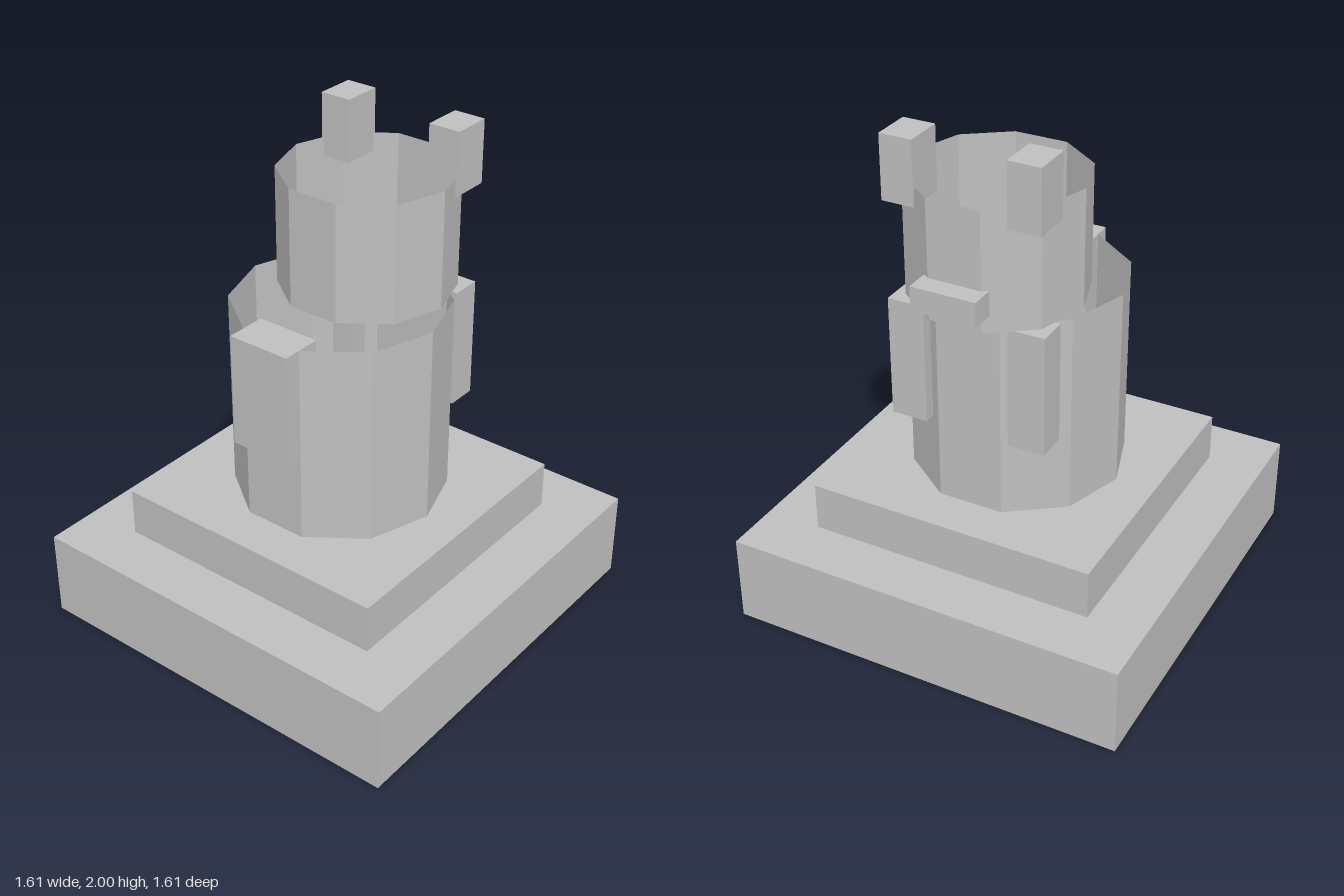
import * as THREE from 'three';

export function createModel() {
  const model = new THREE.Group();
  model.name = 'blockyStatue';

  const stone = new THREE.MeshStandardMaterial({ color: 0xbfbfbf, flatShading: true });
  stone.name = 'grey stone';
  const shell = new THREE.MeshStandardMaterial({ color: 0xbfbfbf, flatShading: true, side: THREE.DoubleSide });
  shell.name = 'grey stone shell';

  // Box given by its low and high limits on each axis
  function box(name, [x0, x1], [y0, y1], [z0, z1]) {
    const mesh = new THREE.Mesh(new THREE.BoxGeometry(x1 - x0, y1 - y0, z1 - z0), stone);
    mesh.position.set((x0 + x1) / 2, (y0 + y1) / 2, (z0 + z1) / 2);
    mesh.name = name;
    model.add(mesh);
  }

  // Open ten-sided tube with corners on the x axis
  function tube(name, radius, y0, y1, z) {
    const geometry = new THREE.CylinderGeometry(radius, radius, y1 - y0, 10, 1, true, Math.PI / 2);
    const mesh = new THREE.Mesh(geometry, shell);
    mesh.position.set(0, (y0 + y1) / 2, z);
    mesh.name = name;
    model.add(mesh);
  }

  // Stepped plinth
  box('lowerPlinth', [-0.806, 0.806], [0, 0.355], [-0.806, 0.806]);
  box('upperPlinth', [-0.58, 0.58], [0.355, 0.55], [-0.58, 0.58]);

  // Hollow body and head, the head set back
  tube('body', 0.419, 0.55, 1.355, 0);
  tube('head', 0.34, 1.355, 1.823, -0.16);

  // Front and back blocks
  box('chestBlock', [-0.129, 0.129], [0.905, 1.355], [0.303, 0.468]);
  box('backBlock', [-0.129, 0.129], [1.423, 1.52], [-0.565, -0.468]);

  // Mirrored pairs: rear supports and the horns above them
  for (const side of [-1, 1]) {
    const prefix = side > 0 ? 'left' : 'right';
    const span = (inner, outer) => (side > 0 ? [inner, outer] : [-outer, -inner]);
    box(prefix + 'RearBlock', span(0.17, 0.316), [0.873, 1.355], [-0.416, -0.294]);
    box(prefix + 'Horn', span(0.181, 0.31), [1.75, 2], [-0.436, -0.277]);
  }

  return model;
}
